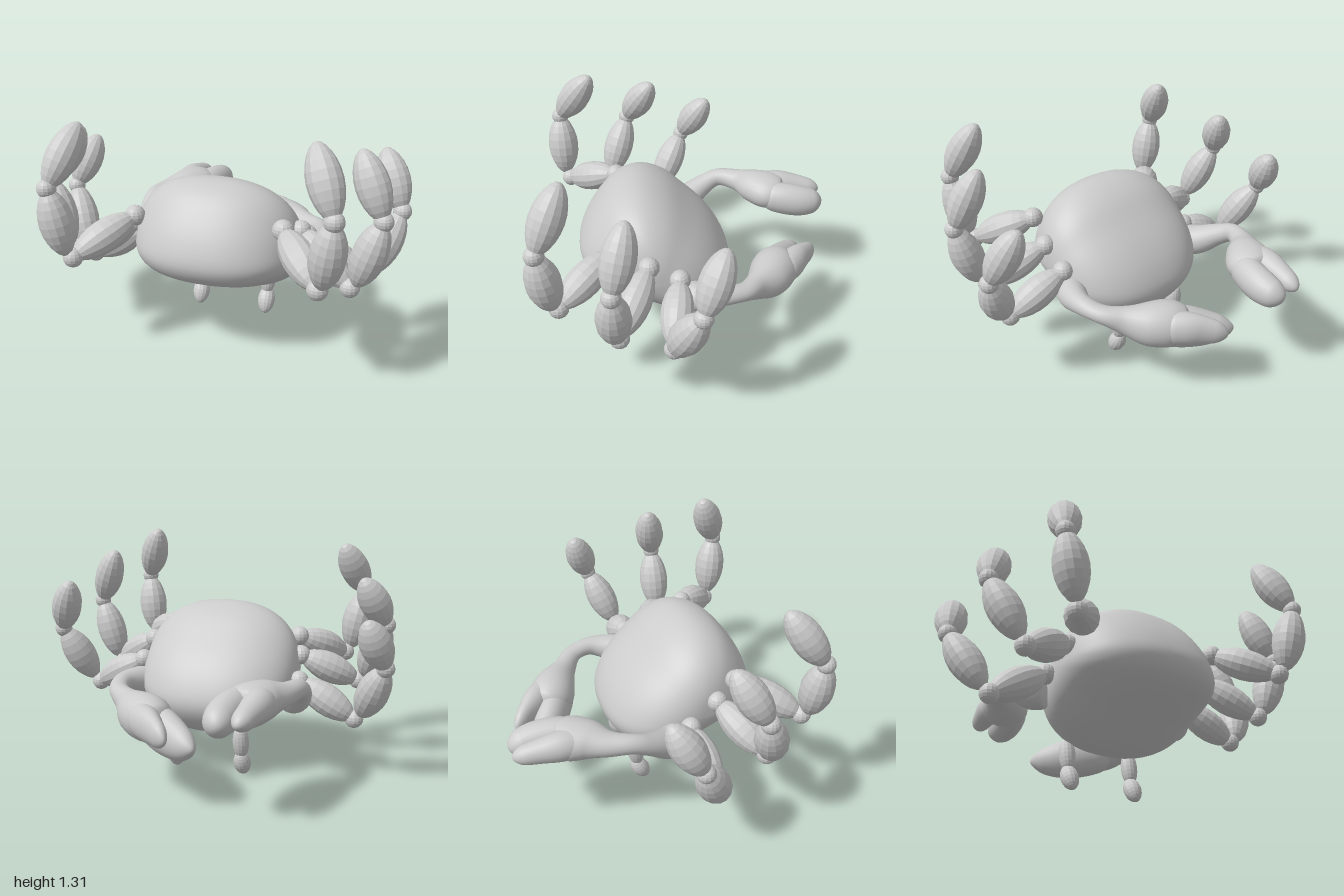
import * as THREE from 'three';

const smooth = new THREE.MeshStandardMaterial({ color: 0xcccccc });
const faceted = new THREE.MeshStandardMaterial({ color: 0xcccccc, flatShading: true });
const V = (p) => new THREE.Vector3(...p);

function add(parent, name, geometry, material) {
  const mesh = new THREE.Mesh(geometry, material);
  mesh.name = name;
  parent.add(mesh);
  return mesh;
}

// Closed skin over equal-sized rings of points
function skin(rings) {
  const n = rings[0].length, pos = [], idx = [];
  rings.forEach((ring) => ring.forEach((p) => pos.push(p.x, p.y, p.z)));
  for (let i = 0; i < rings.length - 1; i++) {
    for (let j = 0; j < n; j++) {
      const a = i * n + j, b = i * n + (j + 1) % n;
      idx.push(a, b, a + n, b, b + n, a + n);
    }
  }
  const g = new THREE.BufferGeometry();
  g.setAttribute('position', new THREE.Float32BufferAttribute(pos, 3));
  g.setIndex(idx);
  g.computeVertexNormals();
  return g;
}

// Tilted shell: side outline (z, y) shrunk toward both flanks
function bodyGeometry() {
  const outline = [[0.57, 0.475], [0.45, 0.4], [0.3, 0.33], [0.15, 0.26], [0.02, 0.22],
    [-0.1, 0.245], [-0.19, 0.32], [-0.235, 0.42], [-0.2, 0.54], [-0.12, 0.66], [0, 0.78],
    [0.13, 0.89], [0.27, 0.937], [0.4, 0.9], [0.5, 0.8], [0.58, 0.67], [0.61, 0.56]];
  const loop = new THREE.CatmullRomCurve3(outline.map(([z, y]) => V([0, y, z])), true).getPoints(64).slice(0, 64);
  const rings = [];
  for (let i = 0; i <= 40; i++) {
    const u = -Math.cos((i / 40) * Math.PI);
    const s = Math.max(0.001, Math.pow(1 - Math.pow(Math.abs(u), 2.35), 1 / 2.35));
    rings.push(loop.map((p) => V([0.02 + 0.455 * u, 0.55 + (p.y - 0.55) * s, 0.18 + (p.z - 0.18) * s])));
  }
  return skin(rings);
}

// Oval tube through stations [x, y, z, half width, half height] with rounded ends
function sweep(stations, cap) {
  const path = new THREE.CatmullRomCurve3(stations.map((s) => V(s.slice(0, 3))), false, 'catmullrom');
  const size = new THREE.CatmullRomCurve3(stations.map((s) => V([s[3], s[4], 0])), false, 'catmullrom');
  const rings = [], steps = 56, sides = 24;
  for (let i = 0; i <= steps; i++) {
    const t = (1 - Math.cos((i / steps) * Math.PI)) / 2;
    const e = Math.min(1, t / cap, (1 - t) / cap);
    const k = Math.max(0.002, Math.sqrt(1 - (1 - e) ** 2));
    const c = path.getPoint(t), r = size.getPoint(t), tan = path.getTangent(t);
    const side = new THREE.Vector3(0, 1, 0).cross(tan).normalize();
    const up = tan.clone().cross(side);
    rings.push(Array.from({ length: sides }, (_, j) => {
      const a = (j / sides) * Math.PI * 2;
      return c.clone().addScaledVector(side, Math.cos(a) * r.x * k).addScaledVector(up, Math.sin(a) * r.y * k);
    }));
  }
  return skin(rings);
}

// Spindle-shaped limb segment between two points
function spindle(parent, name, from, to, radius, power = 0.52) {
  const length = from.distanceTo(to);
  const profile = Array.from({ length: 13 }, (_, i) => {
    const t = (1 - Math.cos((i / 12) * Math.PI)) / 2;
    return new THREE.Vector2(i % 12 ? radius * Math.pow(Math.sin(Math.PI * t), power) : 0, t * length);
  });
  const mesh = add(parent, name, new THREE.LatheGeometry(profile, 14), faceted);
  mesh.position.copy(from);
  mesh.quaternion.setFromUnitVectors(new THREE.Vector3(0, 1, 0), to.clone().sub(from).normalize());
}

function knob(parent, name, at, radius) {
  add(parent, name, new THREE.SphereGeometry(radius, 14, 10), faceted).position.copy(at);
}

// Jointed leg: thigh, shin and tip with knobs between
function leg(parent, name, points) {
  const g = new THREE.Group();
  g.name = name;
  const [hip, knee, ankle, tip] = points.map(V);
  const out = knee.clone().sub(hip).setY(0).normalize();
  const shinStart = knee.clone().addScaledVector(out, 0.035);
  shinStart.y += 0.02;
  knob(g, 'hipJoint', hip, 0.056);
  spindle(g, 'thigh', hip, knee, 0.088);
  knob(g, 'kneeJoint', knee, 0.053);
  spindle(g, 'shin', shinStart, ankle, 0.09);
  knob(g, 'ankleJoint', ankle, 0.05);
  spindle(g, 'legTip', ankle, tip, 0.087);
  parent.add(g);
}

export function createModel() {
  const model = new THREE.Group();
  model.name = 'crab';
  add(model, 'shell', bodyGeometry(), smooth);

  // Raised walking legs: hip, knee, ankle, tip
  leg(model, 'leftFrontLeg', [[0.42, 0.755, 0.42], [0.655, 0.595, 0.685], [0.73, 0.98, 0.76], [0.605, 1.3, 0.62]]);
  leg(model, 'leftMiddleLeg', [[0.47, 0.68, 0.23], [0.765, 0.475, 0.39], [0.91, 0.86, 0.41], [0.77, 1.19, 0.33]]);
  leg(model, 'leftRearLeg', [[0.47, 0.59, 0.07], [0.79, 0.41, 0.12], [0.96, 0.755, -0.01], [0.835, 1.06, -0.13]]);
  leg(model, 'rightFrontLeg', [[-0.39, 0.725, 0.4], [-0.615, 0.58, 0.69], [-0.71, 0.96, 0.73], [-0.61, 1.255, 0.53]]);
  leg(model, 'rightMiddleLeg', [[-0.43, 0.64, 0.28], [-0.74, 0.48, 0.43], [-0.905, 0.84, 0.33], [-0.785, 1.115, 0.17]]);
  leg(model, 'rightRearLeg', [[-0.46, 0.53, 0.12], [-0.775, 0.335, 0.14], [-0.955, 0.68, -0.02], [-0.87, 0.955, -0.18]]);

  // Arms with pincers reaching backward
  const leftClaw = new THREE.Group();
  leftClaw.name = 'leftClaw';
  add(leftClaw, 'armAndPalm', sweep([
    [0.42, 0.47, 0.07, 0.08, 0.08], [0.475, 0.48, -0.02, 0.08, 0.08], [0.505, 0.5, -0.15, 0.057, 0.055],
    [0.47, 0.49, -0.27, 0.055, 0.048], [0.38, 0.455, -0.35, 0.07, 0.08], [0.28, 0.43, -0.43, 0.118, 0.12],
    [0.18, 0.42, -0.49, 0.125, 0.125], [0.1, 0.41, -0.55, 0.07, 0.09]], 0.06), smooth);
  add(leftClaw, 'upperFinger', sweep([
    [0.26, 0.43, -0.49, 0.08, 0.09], [0.16, 0.43, -0.585, 0.075, 0.095],
    [0.085, 0.42, -0.655, 0.052, 0.08], [0.0, 0.4, -0.735, 0.03, 0.05]], 0.2), smooth);
  add(leftClaw, 'lowerFinger', sweep([
    [0.29, 0.395, -0.375, 0.07, 0.095], [0.14, 0.375, -0.475, 0.09, 0.125],
    [0.01, 0.35, -0.56, 0.08, 0.107], [-0.12, 0.345, -0.66, 0.042, 0.05]], 0.18), smooth);

  const rightClaw = new THREE.Group();
  rightClaw.name = 'rightClaw';
  add(rightClaw, 'armAndPalm', sweep([
    [-0.41, 0.46, 0.07, 0.08, 0.09], [-0.47, 0.47, -0.01, 0.088, 0.088], [-0.525, 0.54, -0.13, 0.065, 0.062],
    [-0.54, 0.585, -0.23, 0.052, 0.053], [-0.495, 0.585, -0.35, 0.072, 0.066], [-0.425, 0.585, -0.44, 0.115, 0.095],
    [-0.375, 0.58, -0.53, 0.138, 0.1], [-0.35, 0.575, -0.61, 0.09, 0.08]], 0.06), smooth);
  add(rightClaw, 'outerFinger', sweep([
    [-0.43, 0.59, -0.46, 0.07, 0.07], [-0.43, 0.59, -0.58, 0.08, 0.083],
    [-0.42, 0.58, -0.7, 0.064, 0.066], [-0.4, 0.56, -0.835, 0.045, 0.045]], 0.18), smooth);
  add(rightClaw, 'innerFinger', sweep([
    [-0.34, 0.58, -0.47, 0.08, 0.08], [-0.3, 0.565, -0.6, 0.087, 0.096],
    [-0.285, 0.55, -0.72, 0.083, 0.09], [-0.3, 0.54, -0.835, 0.06, 0.06]], 0.2), smooth);
  model.add(leftClaw, rightClaw);

  // Short feet underneath
  for (const [name, x] of [['leftFoot', 0.215], ['rightFoot', -0.19]]) {
    const foot = new THREE.Group();
    foot.name = name;
    spindle(foot, 'upperFoot', V([x, 0.3, -0.115]), V([x, 0.11, -0.085]), 0.046, 0.35);
    spindle(foot, 'lowerFoot', V([x, 0.145, -0.11]), V([x, 0, -0.03]), 0.05, 0.5);
    model.add(foot);
  }
  return model;
}
